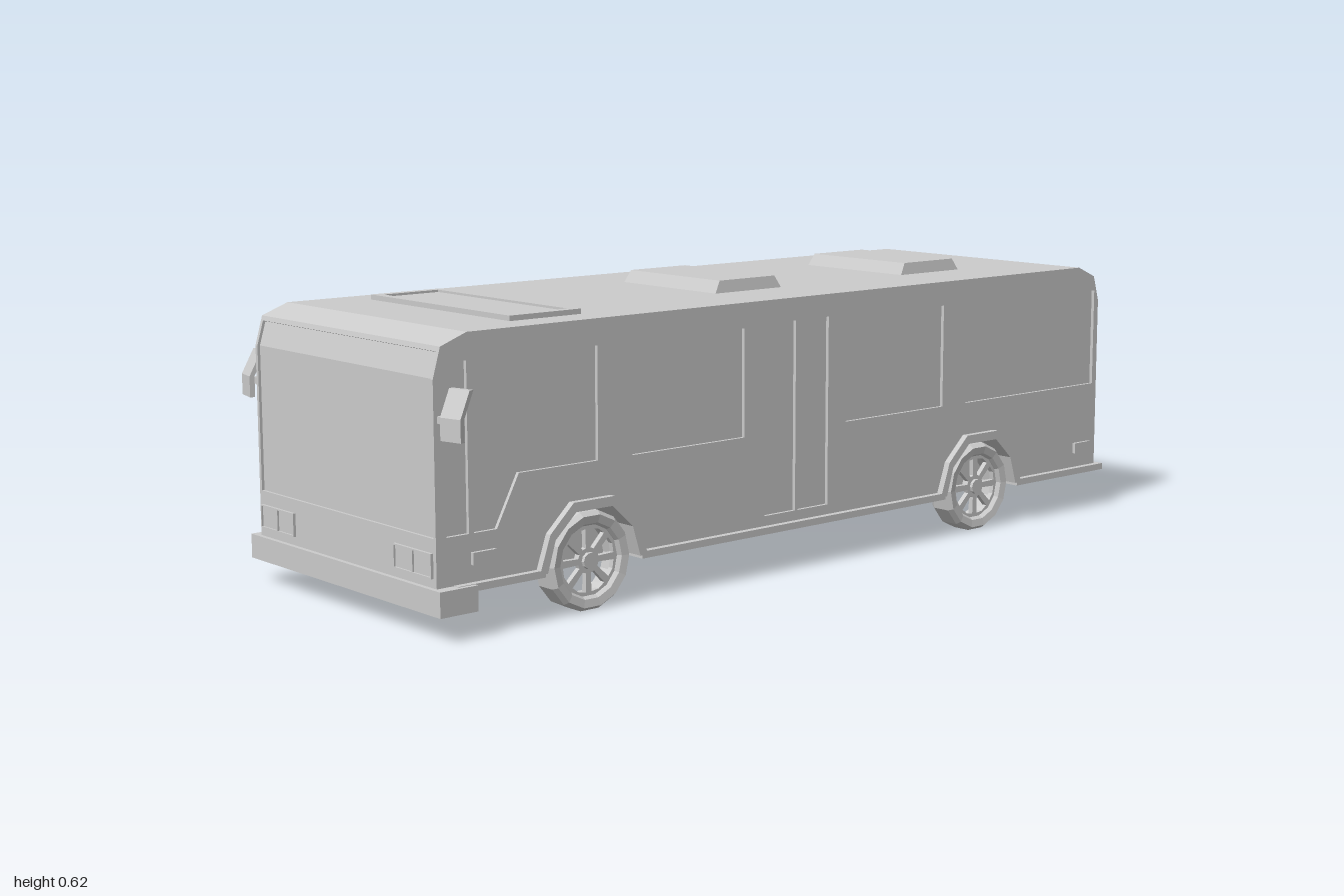
import * as THREE from 'three';

const mat = new THREE.MeshStandardMaterial({ color: 0xcccccc, flatShading: true, side: THREE.DoubleSide });
const AXLES = [-0.555, 0.612];
const toShape = pts => new THREE.Shape(pts.map(p => new THREE.Vector2(p[0], p[1])));
const rect = (a, b, c, d) => [[a, b], [c, b], [c, d], [a, d]];

function add(parent, name, geometry) {
  const mesh = new THREE.Mesh(geometry, mat);
  mesh.name = name;
  parent.add(mesh);
  return mesh;
}

// Box given by its limits on each axis
function box(parent, name, x0, x1, y0, y1, z0, z1) {
  const g = new THREE.BoxGeometry(x1 - x0, y1 - y0, z1 - z0);
  g.translate((x0 + x1) / 2, (y0 + y1) / 2, (z0 + z1) / 2);
  return add(parent, name, g);
}

// Extrude an outline drawn in (z, y) from x0 to x1
function slab(parent, name, outline, x0, x1, holes = []) {
  const s = toShape(outline);
  holes.forEach(h => s.holes.push(toShape(h)));
  const g = new THREE.ExtrudeGeometry(s, { depth: x1 - x0, bevelEnabled: false });
  g.rotateY(-Math.PI / 2).translate(x1, 0, 0);
  return add(parent, name, g);
}

// The same slab on both sides of the vehicle
function sideSlabs(parent, name, outline, x0, x1, holes) {
  slab(parent, name + 'Left', outline, x0, x1, holes);
  slab(parent, name + 'Right', outline, -x1, -x0, holes);
}

const archInner = [[-0.12, 0.1], [-0.1, 0.165], [-0.047, 0.215], [0.047, 0.215], [0.1, 0.165], [0.12, 0.1]];
const archOuter = [[-0.14, 0.1], [-0.113, 0.178], [-0.053, 0.235], [0.053, 0.235], [0.113, 0.178], [0.14, 0.1]];

// Side profile of the body, with optional wheel arches and recessed end windows
function profile(arches, recessed) {
  const p = [[-0.985, 0.1]];
  if (arches) AXLES.forEach(a => archInner.forEach(q => p.push([a + q[0], q[1]])));
  p.push([0.99, 0.1]);
  if (recessed) p.push([0.99, 0.205], [0.984, 0.205], [0.984, 0.515], [0.969, 0.565], [0.975, 0.567]);
  else p.push([0.99, 0.515]);
  p.push([0.972, 0.577], [0.91, 0.6], [-0.91, 0.6], [-0.967, 0.575], [-0.985, 0.515]);
  if (recessed) p.push([-0.981, 0.513], [-0.981, 0.3], [-0.985, 0.3]);
  return p;
}

function buildBody(root) {
  const body = new THREE.Group();
  body.name = 'body';
  root.add(body);
  slab(body, 'bodyCore', profile(false, true), -0.25, 0.25);
  sideSlabs(body, 'bodyFlank', profile(true, true), 0.25, 0.317);

  // Side skins, pierced for the recessed windows and doors
  const openings = [
    rect(-0.97, 0.31, -0.51, 0.54),
    rect(-0.43, 0.31, -0.115, 0.545),
    rect(-0.06, 0.13, 0.031, 0.55),
    rect(0.039, 0.13, 0.13, 0.55),
    rect(0.19, 0.31, 0.5, 0.545),
    [[0.59, 0.31], [0.79, 0.31], [0.845, 0.205], [0.9, 0.205], [0.9, 0.545], [0.59, 0.545]],
    rect(0.912, 0.205, 0.965, 0.545),
  ];
  sideSlabs(body, 'sidePanel', profile(true, false), 0.317, 0.325, openings);

  // Raised trim around the wheel arches
  AXLES.forEach(a => {
    const ring = [...archOuter, ...[...archInner].reverse()].map(q => [a + q[0], q[1]]);
    sideSlabs(body, 'wheelArchTrim', ring, 0.315, 0.34);
  });

  // Floor and sills, broken at the wheels
  box(body, 'floor', -0.25, 0.25, 0.093, 0.106, -0.99, 0.985);
  const sills = [[-1, AXLES[0] - 0.125], [AXLES[0] + 0.125, AXLES[1] - 0.125], [AXLES[1] + 0.125, 0.95]];
  sills.forEach(([a, b]) => sideSlabs(body, 'sill', rect(a, 0.093, b, 0.108), 0.245, 0.34));
  box(body, 'rearSill', -0.34, 0.34, 0.093, 0.108, -1, -0.97);

  // Front bumper wrapping around the corners
  const u = toShape([[-0.35, -0.91], [-0.35, -1], [0.35, -1], [0.35, -0.91], [0.325, -0.91],
    [0.325, -0.97], [-0.325, -0.97], [-0.325, -0.91]]);
  const g = new THREE.ExtrudeGeometry(u, { depth: 0.052, bevelEnabled: false });
  g.rotateX(-Math.PI / 2).translate(0, 0.055, 0);
  add(body, 'frontBumper', g);
}

function buildRoof(root) {
  // Tapered roof hatches
  [-0.56, 0.025].forEach(z => {
    const g = new THREE.BoxGeometry(0.316, 0.03, 0.2);
    const p = g.attributes.position;
    for (let i = 0; i < p.count; i++) {
      if (p.getY(i) > 0) p.setXYZ(i, p.getX(i) * 0.965, p.getY(i), p.getZ(i) * 0.82);
    }
    g.translate(0, 0.612, z);
    add(root, 'roofHatch', g);
  });
  // Front roof frame
  const s = toShape(rect(-0.248, -0.09, 0.248, 0.09));
  s.holes.push(toShape(rect(-0.228, -0.07, 0.228, 0.07)));
  const g = new THREE.ExtrudeGeometry(s, { depth: 0.012, bevelEnabled: false });
  g.rotateX(-Math.PI / 2).translate(0, 0.599, 0.66);
  add(root, 'roofFrame', g);
  box(root, 'roofFramePanel', -0.23, 0.23, 0.598, 0.606, 0.588, 0.732);
}

function buildLights(root) {
  for (const s of [-1, 1]) {
    const c = s * 0.25;
    // Twin headlight in a raised frame
    const frame = toShape(rect(-0.065, 0.126, 0.065, 0.176));
    frame.holes.push(toShape(rect(-0.062, 0.129, -0.002, 0.173)), toShape(rect(0.002, 0.129, 0.062, 0.173)));
    const g = new THREE.ExtrudeGeometry(frame, { depth: 0.007, bevelEnabled: false });
    add(root, 'headlightFrame', g).position.set(c, 0, 0.989);
    box(root, 'headlightLens', c - 0.063, c + 0.063, 0.128, 0.174, 0.985, 0.992);
    // Tail lights
    const t = s * 0.205;
    box(root, 'tailLight', t - 0.047, t + 0.047, 0.172, 0.194, -0.995, -0.98);
    box(root, 'reverseLight', t - 0.026, t + 0.026, 0.135, 0.154, -0.995, -0.98);
    // Side markers
    for (const z of [0.88, -0.93]) {
      const x = s * 0.327;
      box(root, 'sideMarker', x - 0.006, x + 0.006, 0.143, 0.168, z - 0.028, z + 0.028);
    }
  }
}

function buildMirrors(root) {
  const outline = [[0.015, -0.045], [0.015, 0], [-0.012, 0.053], [-0.023, 0.053], [0.004, 0], [0.004, -0.045]];
  for (const s of [-1, 1]) {
    const mirror = new THREE.Group();
    mirror.name = s > 0 ? 'mirrorLeft' : 'mirrorRight';
    const shell = slab(mirror, 'mirrorShell', outline, -0.026, 0.026);
    shell.position.set(s * 0.372, 0.446, 0.972);
    shell.rotation.y = s * 0.22;
    box(mirror, 'mirrorArm', s * 0.335 - 0.022, s * 0.335 + 0.022, 0.43, 0.444, 0.97, 0.982);
    root.add(mirror);
  }
}

// Wheel with its outer face towards +x
function buildWheel(name) {
  const wheel = new THREE.Group();
  wheel.name = name;
  const section = [[0.08, -0.03], [0.097, -0.033], [0.105, -0.022], [0.105, 0.022], [0.097, 0.033],
    [0.08, 0.03], [0.075, 0.022], [0.075, -0.025], [0.08, -0.03]];
  const tire = new THREE.LatheGeometry(section.map(p => new THREE.Vector2(p[0], p[1])), 14);
  tire.rotateZ(-Math.PI / 2);
  add(wheel, 'tire', tire);

  // Rim disc with eight openings between the spokes
  const disc = new THREE.Shape().absarc(0, 0, 0.079, 0, Math.PI * 2);
  const n = 8, polar = (r, a) => [r * Math.cos(a), r * Math.sin(a)];
  for (let i = 0; i < n; i++) {
    const a = (i + 0.5) * Math.PI * 2 / n;
    disc.holes.push(toShape([polar(0.027, a - 0.16), polar(0.066, a - 0.28), polar(0.068, a),
      polar(0.066, a + 0.28), polar(0.027, a + 0.16)]));
  }
  const rim = new THREE.ExtrudeGeometry(disc, { depth: 0.012, bevelEnabled: false, curveSegments: 14 });
  rim.rotateY(Math.PI / 2).translate(0.008, 0, 0);
  add(wheel, 'rim', rim);
  const hub = new THREE.CylinderGeometry(0.017, 0.02, 0.03, 10);
  hub.rotateZ(-Math.PI / 2).translate(0.012, 0, 0);
  add(wheel, 'hub', hub);
  return wheel;
}

export function createModel() {
  const root = new THREE.Group();
  root.name = 'bus';
  buildBody(root);
  buildRoof(root);
  buildLights(root);
  buildMirrors(root);
  AXLES.forEach((z, i) => [-1, 1].forEach(s => {
    const wheel = buildWheel((i ? 'front' : 'rear') + 'Wheel' + (s > 0 ? 'Left' : 'Right'));
    wheel.position.set(s * 0.298, 0.105, z);
    if (s < 0) wheel.rotation.y = Math.PI;
    root.add(wheel);
  }));
  return root;
}
